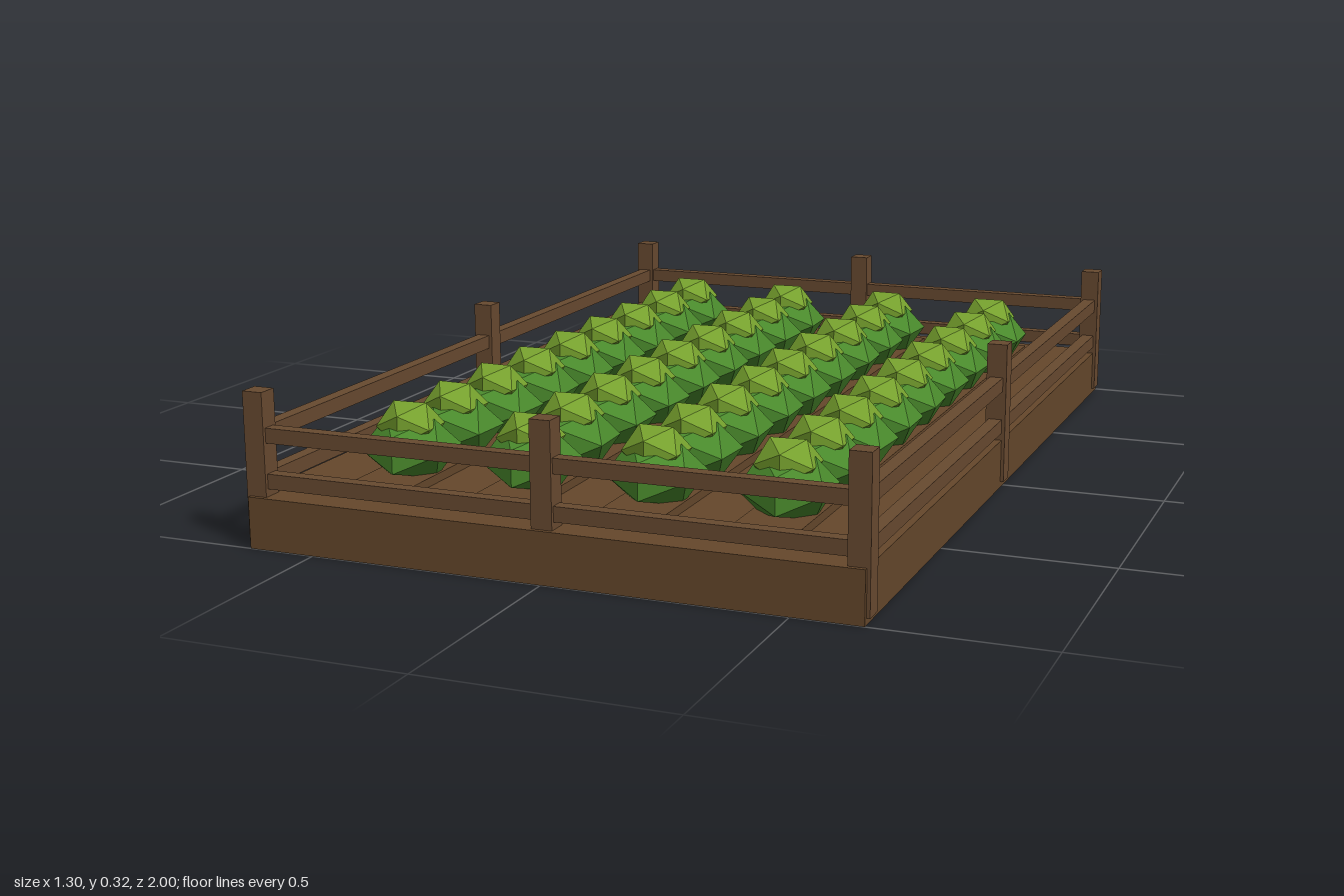
import * as THREE from 'three';

const mat = (name, color) => {
  const m = new THREE.MeshStandardMaterial({ color });
  m.name = name;
  m.flatShading = true;
  return m;
};

export function createModel() {
  const root = new THREE.Group();
  root.name = 'vegetableBed';
  const soil = mat('soil brown', 0x65472b);
  const wood = mat('wood brown', 0x684a30);
  const leaf = mat('leaf green', 0x4a8a2c);
  const heart = mat('heart green', 0x77a22e);

  const box = (name, material, w, h, d, x, y, z, parent = root) => {
    const mesh = new THREE.Mesh(new THREE.BoxGeometry(w, h, d), material);
    mesh.name = name;
    mesh.position.set(x, y, z);
    parent.add(mesh);
    return mesh;
  };

  // Earth block
  box('base', soil, 1.286, 0.107, 2, 0, 0.0535, 0);

  // Fence: corner and middle posts, two rails on every side
  const fence = new THREE.Group();
  fence.name = 'fence';
  root.add(fence);
  const px = 0.628, pz = 0.969;
  for (const x of [-px, 0, px]) {
    for (const z of [-pz, 0, pz]) {
      if (x === 0 && z === 0) continue;
      box('post', wood, 0.044, 0.308, 0.044, x, 0.167, z, fence);
    }
  }
  for (const y of [0.138, 0.232]) {
    for (const s of [-1, 1]) {
      box('endRail', wood, px * 2, 0.031, 0.029, 0, y, s * pz, fence);
      box('sideRail', wood, 0.029, 0.031, pz * 2, s * px, y, 0, fence);
    }
  }

  // Planted rows: raised ridge with nine cabbages each
  const leafGeo = new THREE.IcosahedronGeometry(0.103, 0);
  const heartGeo = new THREE.IcosahedronGeometry(0.07, 0);
  for (let r = 0; r < 4; r++) {
    const x = (r - 1.5) * 0.273;
    box('ridge', soil, 0.133, 0.036, 1.785, x, 0.107, 0);
    for (let i = 0; i < 9; i++) {
      const cabbage = new THREE.Group();
      cabbage.name = 'cabbage';
      cabbage.position.set(x, 0, (i - 4) * 0.189);
      cabbage.rotation.y = 0.06 * Math.sin(r * 2.3 + i * 1.7);
      const outer = new THREE.Mesh(leafGeo, leaf);
      outer.name = 'outerLeaves';
      outer.position.y = 0.174;
      outer.scale.y = 0.7;
      const inner = new THREE.Mesh(heartGeo, heart);
      inner.name = 'heartLeaves';
      inner.position.y = 0.22;
      inner.scale.y = 0.8;
      cabbage.add(outer, inner);
      root.add(cabbage);
    }
  }
  return root;
}
